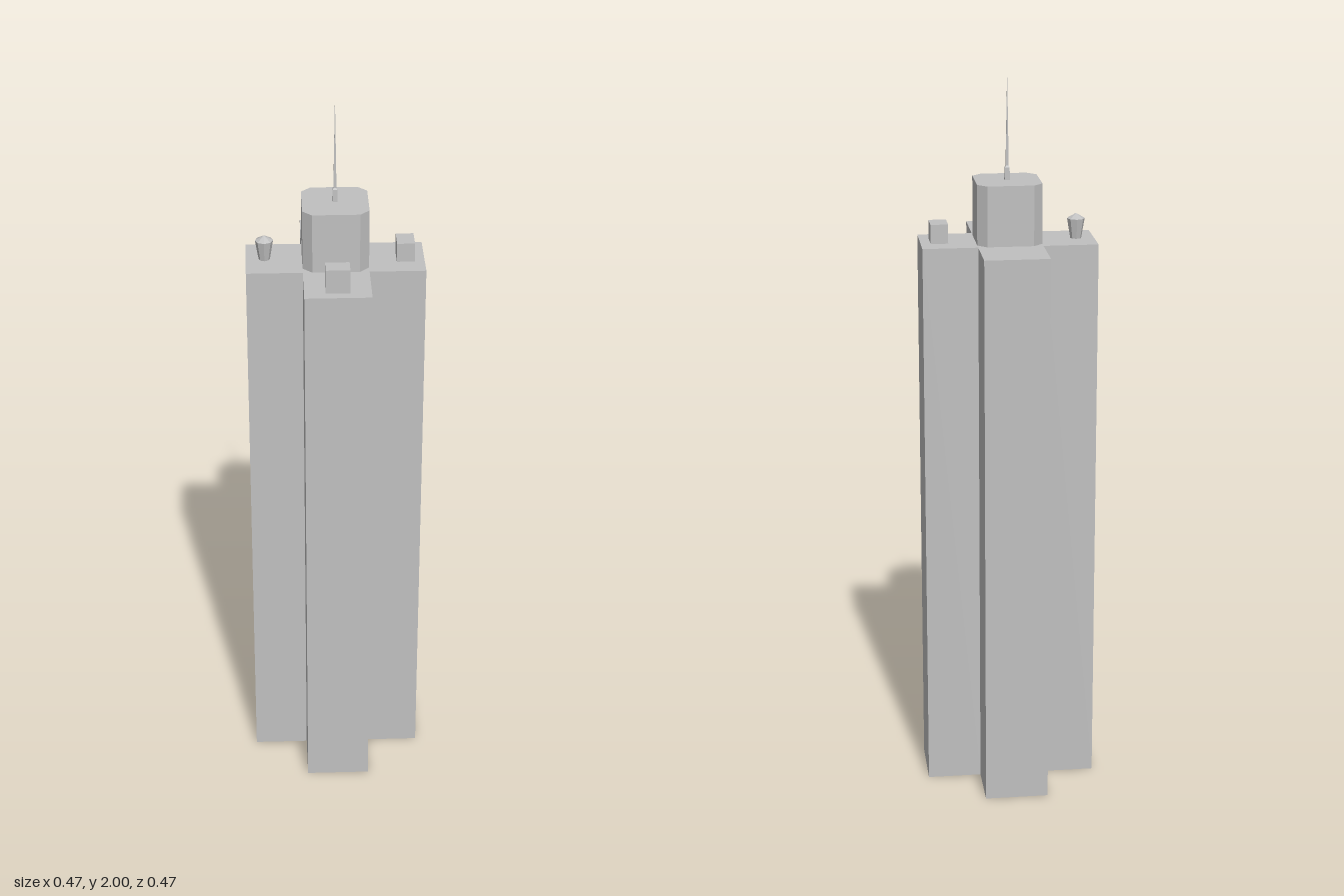
import * as THREE from 'three';

const ROOF = 1.545, CROWN = 1.708;

// Vertical prism from a plan outline, open at the bottom
function openPrism(points, y0, y1) {
  const shape = new THREE.Shape(points.map(([x, y]) => new THREE.Vector2(x, y)));
  const geo = new THREE.ExtrudeGeometry(shape, { depth: y1 - y0, bevelEnabled: false });
  geo.rotateX(-Math.PI / 2);
  const p = geo.attributes.position, kept = [];
  for (let i = 0; i < p.count; i += 3) {
    const highest = Math.max(p.getY(i), p.getY(i + 1), p.getY(i + 2));
    if (highest < 1e-5) continue;
    for (let k = i; k < i + 3; k++) kept.push(p.getX(k), p.getY(k) + y0, p.getZ(k));
  }
  const out = new THREE.BufferGeometry();
  out.setAttribute('position', new THREE.Float32BufferAttribute(kept, 3));
  out.computeVertexNormals();
  return out;
}

// Repeats one quarter of a plan around the centre
function fourfold(quarter) {
  const points = [];
  for (let i = 0; i < 4; i++) {
    for (let [x, y] of quarter) {
      for (let k = 0; k < i; k++) [x, y] = [-y, x];
      points.push([x, y]);
    }
  }
  return points;
}

export function createModel() {
  const model = new THREE.Group();
  model.name = 'tower';
  const concrete = new THREE.MeshStandardMaterial({
    name: 'concrete grey', color: 0xc0c0c0, flatShading: true, side: THREE.DoubleSide,
  });
  const add = (name, geo, x = 0, y = 0, z = 0) => {
    const mesh = new THREE.Mesh(geo, concrete);
    mesh.name = name;
    mesh.position.set(x, y, z);
    model.add(mesh);
    return mesh;
  };

  // Cross-shaped shaft and chamfered penthouse
  const w = 0.087, arm = 0.235, c = 0.062;
  add('shaft', openPrism(fourfold([[arm, -w], [arm, w], [w, w]]), 0, ROOF));
  add('penthouse', openPrism(fourfold([[w, -c], [w, c]]), ROOF, CROWN));

  // Square tapered antenna with a thicker foot
  const profile = [[0.0099, CROWN], [0.0085, 1.742], [0.0055, 1.746], [0.0035, 1.84], [0, 2]];
  const antenna = new THREE.LatheGeometry(profile.map(([r, y]) => new THREE.Vector2(r, y)), 4);
  antenna.rotateY(Math.PI / 4);
  add('antenna', antenna);

  // Rooftop plant rooms
  for (const [name, x, z, sx, sz, h] of [
    ['leftPlantRoom', 0.185, 0, 0.047, 0.063, 0.052],
    ['frontPlantRoom', 0, 0.185, 0.063, 0.047, 0.065],
  ]) add(name, new THREE.BoxGeometry(sx, h, sz), x, ROOF + h / 2, z);

  // Flared water tank with a conical lid
  const tank = [[0.015, 0], [0.024, 0.054], [0, 0.068]];
  add('waterTank', new THREE.LatheGeometry(tank.map(([r, y]) => new THREE.Vector2(r, y)), 8),
    -0.186, ROOF, 0);

  return model;
}
